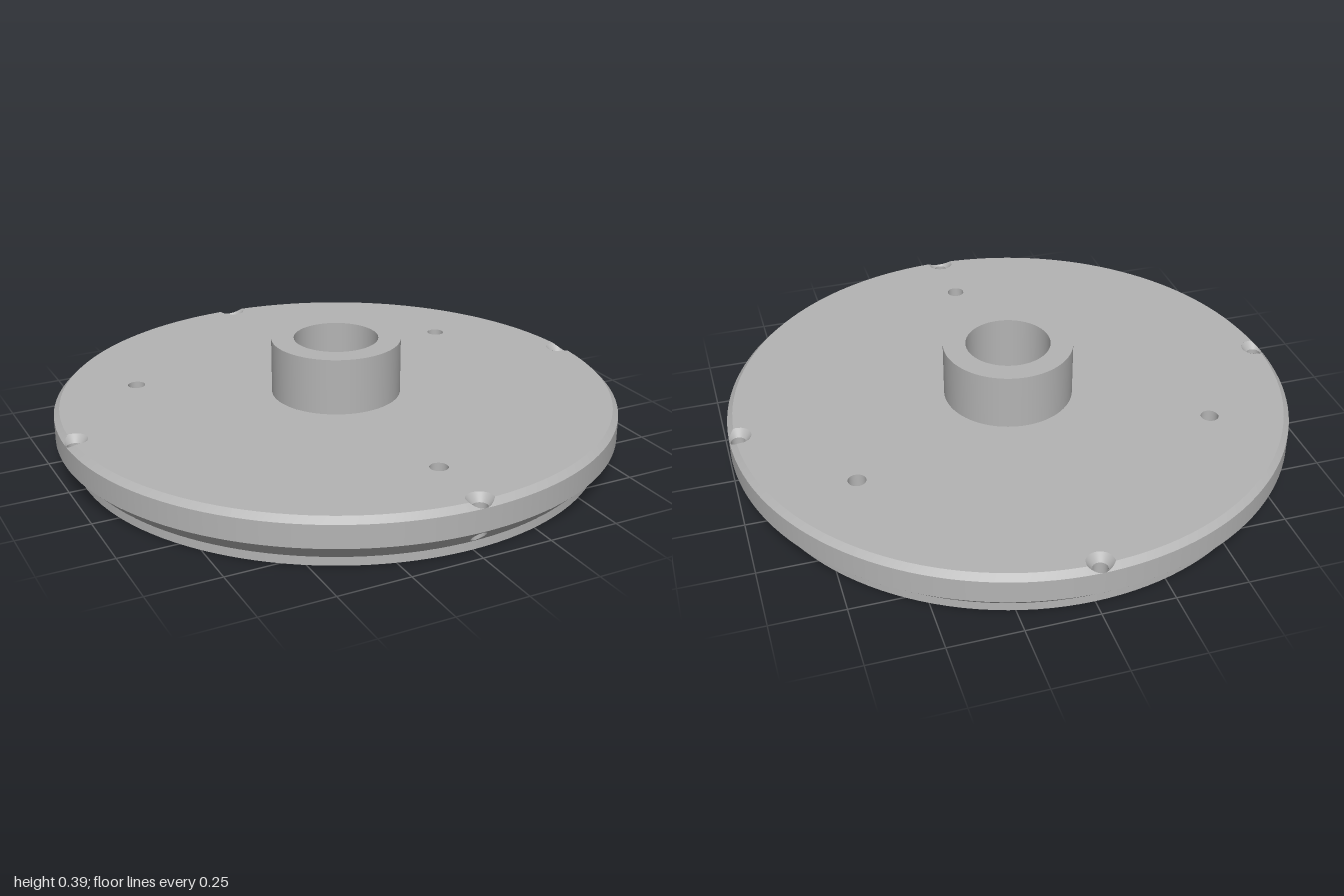
import * as THREE from 'three';

const BASE_R = 0.94, FLARE_Y = 0.03, RIM_Y0 = 0.09, RIM_Y1 = 0.17, TOP = 0.19, TOP_R = 0.98;
const HUB_R = 0.23, HUB_Y = 0.39, BORE_R = 0.15, FLOOR = 0.1;
const HOLE_D = 0.97, HOLE_R = 0.025, SINK_R = 0.047;      // rim holes and their countersinks
const SLOPE = (TOP - RIM_Y1) / (SINK_R - 0.03);
const DUCT_R = 0.04, PORT_X = 0.645, PORT_R = 0.06;

const sinkY = (rho) => TOP - (SINK_R - rho) * SLOPE;       // countersink cone height
const bodyY = (r) => TOP - Math.max(0, r - TOP_R);         // top face and chamfer height
const flareY = (r) => FLARE_Y + (r - BASE_R);
const polar = (r, a, y) => new THREE.Vector3(r * Math.cos(a), y, r * Math.sin(a));
const range = (a, b, n) => Array.from({ length: n + 1 }, (_, i) => a + (b - a) * i / n);

// Finds where a test turns from true to false between a and b
function bisect(a, b, test) {
  for (let i = 0; i < 30; i++) {
    const m = (a + b) / 2;
    if (test(m)) a = m; else b = m;
  }
  return a;
}

// Smooth strip between two edge curves
function strip(us, lower, upper) {
  const pos = [], index = [];
  us.forEach((u, i) => {
    pos.push(...lower(u).toArray(), ...upper(u).toArray());
    if (i) {
      const k = 2 * i;
      index.push(k - 2, k - 1, k, k, k - 1, k + 1);
    }
  });
  const g = new THREE.BufferGeometry();
  g.setAttribute('position', new THREE.Float32BufferAttribute(pos, 3));
  g.setIndex(index);
  g.computeVertexNormals();
  return g;
}

function circlePath(x, y, r) {
  return new THREE.Path().absarc(x, y, r, 0, Math.PI * 2, true);
}

export function createModel() {
  const model = new THREE.Group();
  const steel = new THREE.MeshStandardMaterial({ color: 0xb4b4b4, side: THREE.DoubleSide });
  steel.name = 'grey metal';

  function add(name, geometry, parent = model) {
    const mesh = new THREE.Mesh(geometry, steel);
    mesh.name = name;
    parent.add(mesh);
    return mesh;
  }
  // One sharp-edged band of revolution
  const band = (name, r0, y0, r1, y1) =>
    add(name, new THREE.LatheGeometry([new THREE.Vector2(r0, y0), new THREE.Vector2(r1, y1)], 128));
  // Vertical hole wall
  function well(name, x, z, r, y0, y1, capY) {
    const wall = new THREE.CylinderGeometry(r, r, y1 - y0, 32, 1, true);
    add(name + 'Wall', wall.translate(x, (y0 + y1) / 2, z));
    const cap = new THREE.CircleGeometry(r, 32).rotateX(capY === y0 ? -Math.PI / 2 : Math.PI / 2);
    add(name + 'End', cap.translate(x, capY, z));
  }

  // Plain bands of the disc and the hub
  band('baseEdge', BASE_R, 0, BASE_R, FLARE_Y);
  band('rimWall', 1, RIM_Y0, 1, RIM_Y1);
  band('hubWall', HUB_R, TOP, HUB_R, HUB_Y);
  band('hubTop', HUB_R, HUB_Y, BORE_R, HUB_Y);
  band('hubBore', BORE_R, HUB_Y, BORE_R, FLOOR);

  // Top face, notched by the countersinks and pierced by three blind holes
  const angles = [
    ...range(-Math.PI / 4, -0.06, 16), ...range(-0.058, 0.058, 58), ...range(0.06, Math.PI / 4, 16),
  ];
  const outline = [];
  for (let q = 0; q < 4; q++) {
    angles.slice(0, -1).forEach((a) => {
      const far = Math.hypot(TOP_R * Math.cos(a) - HOLE_D, TOP_R * Math.sin(a));
      const r = far < SINK_R
        ? HOLE_D * Math.cos(a) - Math.sqrt(SINK_R ** 2 - (HOLE_D * Math.sin(a)) ** 2) : TOP_R;
      const t = a + q * Math.PI / 2;
      outline.push(new THREE.Vector2(r * Math.cos(t), r * Math.sin(t)));
    });
  }
  const top = new THREE.Shape(outline);
  top.holes.push(circlePath(0, 0, HUB_R));
  for (let i = 0; i < 3; i++) {
    const p = polar(0.725, Math.PI / 2 + i * Math.PI * 2 / 3, 0);
    top.holes.push(circlePath(p.x, -p.z, 0.031));
    well('blindHole', p.x, p.z, 0.031, 0.09, TOP, 0.09);
  }
  add('topFace', new THREE.ShapeGeometry(top, 48).rotateX(-Math.PI / 2).translate(0, TOP, 0));

  // Underside with the duct port
  const under = new THREE.Shape().absarc(0, 0, BASE_R, 0, Math.PI * 2);
  under.holes.push(circlePath(PORT_X, 0, PORT_R));
  add('underside', new THREE.ShapeGeometry(under, 64).rotateX(Math.PI / 2));
  well('ductPort', PORT_X, 0, PORT_R, 0, 0.14, 0.14);

  // Bore floor with the open round-bottomed duct
  const floor = new THREE.Shape().absarc(0, 0, BORE_R, 0, Math.PI * 2);
  const slot = new THREE.Path();
  slot.moveTo(0.1444, -DUCT_R);
  slot.lineTo(0.1444, DUCT_R);
  slot.lineTo(0, DUCT_R);
  slot.absarc(0, 0, DUCT_R, Math.PI / 2, Math.PI * 1.5, false);
  floor.holes.push(slot);
  add('boreFloor', new THREE.ShapeGeometry(floor, 48).rotateX(-Math.PI / 2).translate(0, FLOOR, 0));
  const ductEnd = PORT_X - PORT_R;
  const arc = (x) => (a) => new THREE.Vector3(x, FLOOR - DUCT_R * Math.sin(a), DUCT_R * Math.cos(a));
  add('duct', strip(range(0, Math.PI, 24), arc(0), arc(ductEnd)));
  const end = new THREE.SphereGeometry(DUCT_R, 16, 12, -Math.PI / 2, Math.PI, Math.PI / 2, Math.PI / 2);
  add('ductRoundEnd', end.rotateY(0).translate(0, FLOOR, 0));

  // Rim quarter: chamfer, flare and one countersunk hole
  const chamferStart = (a) => bisect(1, TOP_R, (r) =>
    Math.hypot(r * Math.cos(a) - HOLE_D, r * Math.sin(a)) >= sinkRadius(bodyY(r)));
  const sinkRadius = (y) => SINK_R - (TOP - y) / SLOPE;
  const chamfer = strip(angles,
    (a) => polar(1, a, RIM_Y1),
    (a) => { const r = chamferStart(a); return polar(r, a, bodyY(r)); });

  const PATCH = 0.04;
  const flare = strip(range(PATCH, Math.PI / 2 - PATCH, 32),
    (a) => polar(BASE_R, a, FLARE_Y), (a) => polar(1, a, RIM_Y0));

  const around = range(0, Math.PI * 2, 48);
  const holePoint = (a, rho) => new THREE.Vector2(HOLE_D + rho * Math.cos(a), rho * Math.sin(a));
  const patchShape = new THREE.Shape([
    ...range(-PATCH, PATCH, 4).map((t) => new THREE.Vector2(t, BASE_R)),
    ...range(PATCH, -PATCH, 4).map((t) => new THREE.Vector2(t, 1)),
  ]);
  patchShape.holes.push(new THREE.Path(around.slice(0, -1).map((a) => {
    const p = holePoint(a, HOLE_R);
    return new THREE.Vector2(p.angle() > Math.PI ? p.angle() - Math.PI * 2 : p.angle(), p.length());
  })));
  const patch = new THREE.ShapeGeometry(patchShape);
  const pp = patch.attributes.position;
  for (let i = 0; i < pp.count; i++) {
    const v = polar(pp.getY(i), pp.getX(i), flareY(pp.getY(i)));
    pp.setXYZ(i, v.x, v.y, v.z);
  }
  patch.computeVertexNormals();

  const at = (p, y) => new THREE.Vector3(p.x, y, p.y);
  const barrel = strip(around,
    (a) => { const p = holePoint(a, HOLE_R); return at(p, flareY(p.length())); },
    (a) => at(holePoint(a, HOLE_R), sinkY(HOLE_R)));
  const sink = strip(around,
    (a) => at(holePoint(a, HOLE_R), sinkY(HOLE_R)),
    (a) => {
      const rho = bisect(HOLE_R, SINK_R, (s) => sinkY(s) <= bodyY(holePoint(a, s).length()));
      return at(holePoint(a, rho), sinkY(rho));
    });

  for (let q = 0; q < 4; q++) {
    const quarter = new THREE.Group();
    quarter.name = 'rimQuarter';
    quarter.rotation.y = q * Math.PI / 2;
    add('chamfer', chamfer, quarter);
    add('flare', flare, quarter);
    add('flareAroundHole', patch, quarter);
    add('rimHole', barrel, quarter);
    add('countersink', sink, quarter);
    model.add(quarter);
  }
  return model;
}
